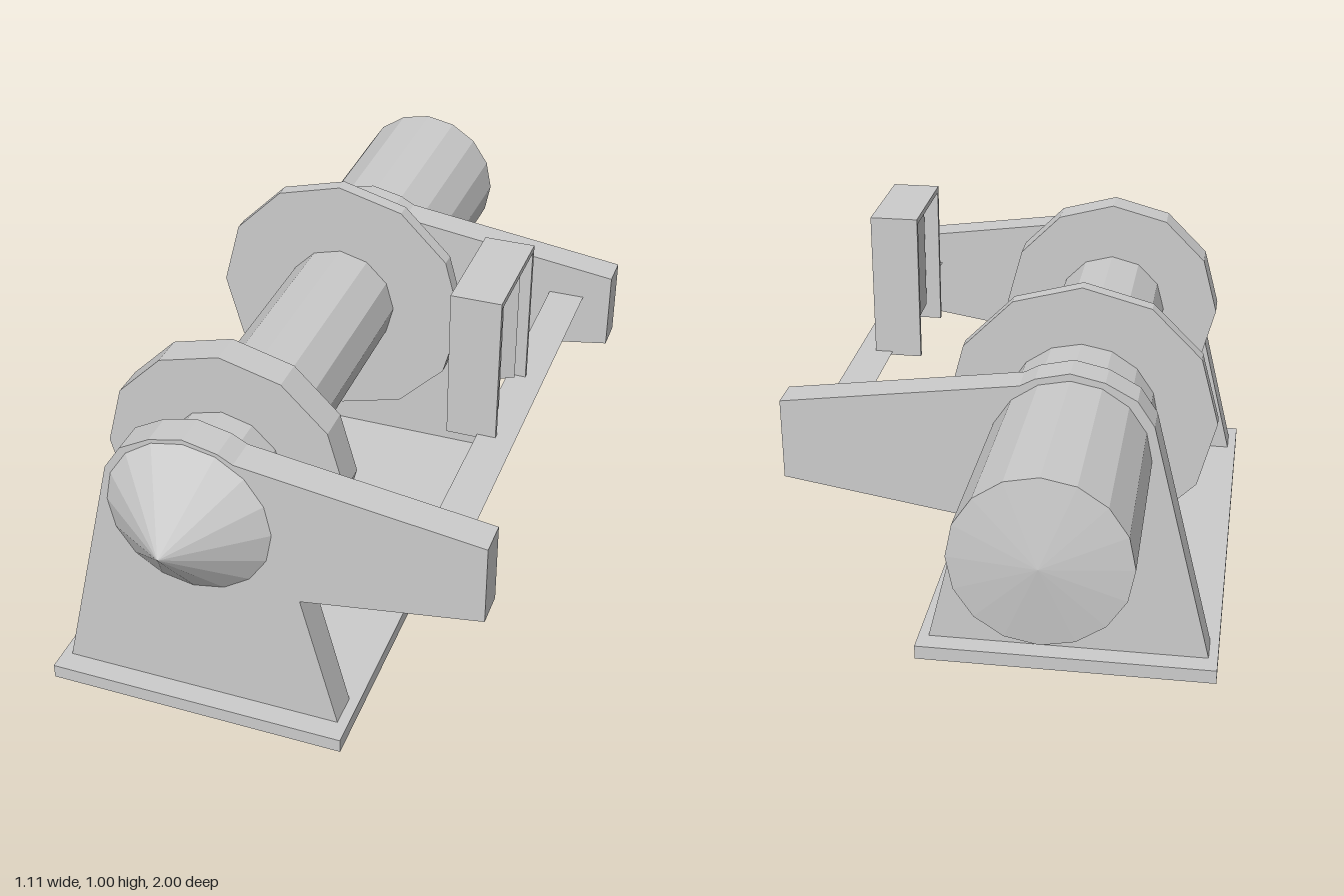
import * as THREE from 'three';

const AXIS_X = -0.168, AXIS_Y = 0.586;

export function createModel() {
  const group = new THREE.Group();
  const grey = new THREE.MeshStandardMaterial({ color: 0xcccccc, flatShading: true });

  function add(name, geometry, x = 0, y = 0, z = 0) {
    const mesh = new THREE.Mesh(geometry, grey);
    mesh.name = name;
    mesh.position.set(x, y, z);
    group.add(mesh);
  }

  // Box given by its extents
  function box(name, x0, x1, y0, y1, z0, z1) {
    add(name, new THREE.BoxGeometry(x1 - x0, y1 - y0, z1 - z0),
      (x0 + x1) / 2, (y0 + y1) / 2, (z0 + z1) / 2);
  }

  // Faceted cylinder along z, by default on the drum axis
  function shaft(name, rBack, rFront, z0, z1, sides, x = AXIS_X, y = AXIS_Y) {
    const geometry = new THREE.CylinderGeometry(rFront, rBack, z1 - z0, sides);
    geometry.rotateX(Math.PI / 2);
    add(name, geometry, x, y, (z0 + z1) / 2);
  }

  // Flat plate with its outline in the xy plane
  function slab(points) {
    const shape = new THREE.Shape(points.map(([x, y]) => new THREE.Vector2(x, y)));
    return new THREE.ExtrudeGeometry(shape, { depth: 0.085, bevelEnabled: false });
  }

  // Base: a shallow tray, hollow underneath
  box('baseTop', -0.555, 0.222, 0.032, 0.038, -0.515, 0.89);
  for (const x of [-0.555, 0.216]) box('baseSideRim', x, x + 0.006, 0, 0.034, -0.515, 0.89);
  for (const z of [-0.515, 0.884]) box('baseEndRim', -0.552, 0.219, 0, 0.034, z, z + 0.006);

  // Two side plates, each a round-headed leg with a tapering arm
  const rightEdge = [[0.363, 0.038], [0.206, 0.68], [0.163, 0.745], [0.085, 0.788]];
  const leg = slab([
    ...rightEdge.map(([dx, y]) => [AXIS_X + dx, y]),
    [AXIS_X, 0.807],
    ...rightEdge.map(([dx, y]) => [AXIS_X - dx, y]).reverse(),
  ]);
  const arm = slab([[-0.05, 0.379], [0.553, 0.478], [0.553, 0.687], [-0.05, 0.768]]);
  for (const [side, z] of [['front', 0.75], ['back', -0.46]]) {
    add(side + 'Leg', leg, 0, 0, z);
    add(side + 'Arm', arm, 0, 0, z);
  }

  // Drum and its flanges
  shaft('drum', 0.155, 0.155, -0.2, 0.76, 12);
  shaft('frontFlange', 0.31, 0.31, 0.537, 0.622, 12);
  shaft('backFlange', 0.35, 0.35, -0.226, -0.186, 12);

  // Nose cone, motor and its shallow end cap
  shaft('noseCone', 0.209, 0, 0.835, 1, 16);
  shaft('motor', 0.209, 0.199, -0.972, -0.22, 16);
  shaft('motorEndCap', 0, 0.209, -1, -0.972, 16);

  // Three-sided guide rail between the arms
  shaft('guideRail', 0.055, 0.055, -0.376, 0.751, 3, 0.431, 0.587);

  // Cable guide: frame open on both x sides, with two upright rollers
  box('guideFrontWall', 0.305, 0.43, 0.605, 0.982, 0.325, 0.338);
  box('guideBackWall', 0.305, 0.43, 0.605, 0.982, 0.045, 0.058);
  box('guideTop', 0.305, 0.43, 0.982, 0.997, 0.045, 0.338);
  for (const z of [0.122, 0.267]) {
    const roller = new THREE.CylinderGeometry(0.05, 0.05, 0.33, 3, 1, false, Math.PI / 2);
    add('guideRoller', roller, 0.367, 0.817, z);
  }

  return group;
}
